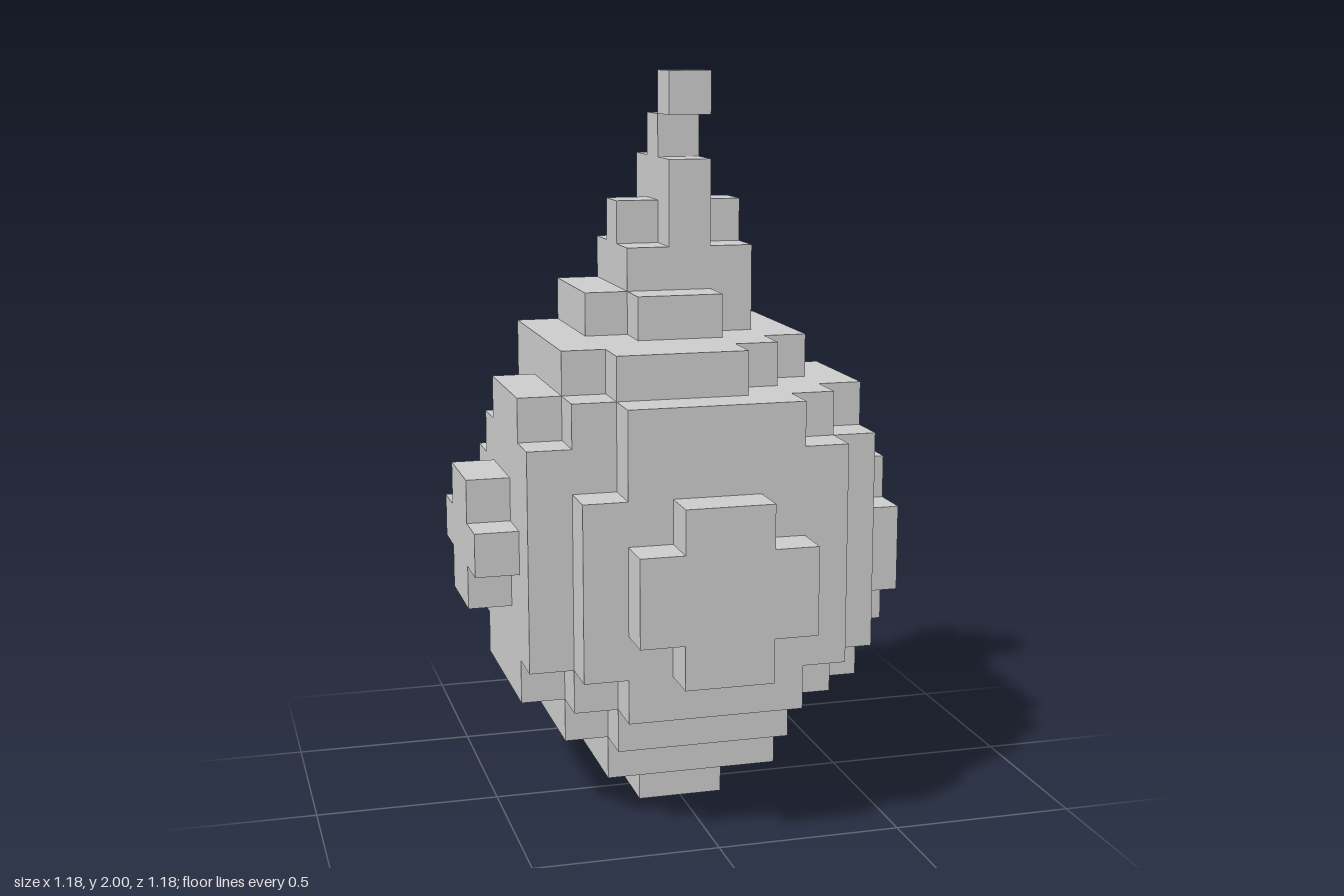
import * as THREE from 'three';

const U = 2 / 17; // size of one cube

// Every run is [y0, y1, z0, z1, x0, x1], counted in cubes
const parts = {
  base: [
    [0, 1, -1, 1, -1, 1],
    [1, 2, -2, 2, -2, 2], [1, 2, -3, -2, 1, 2],
    [2, 3, -3, 1, -3, 3], [2, 3, 1, 2, -3, 2], [2, 3, 2, 3, -2, 2],
    [3, 4, -4, -3, -2, 3], [3, 4, -3, -2, -3, 3], [3, 4, -2, 2, -4, 4],
    [3, 4, 2, 3, -3, 3], [3, 4, 3, 4, -2, 2],
  ],
  body: [
    [4, 8, -3, 3, -4, 4], [4, 8, 3, 4, -3, 3],
    [4, 8, -4, -3, -2, 3], [6, 8, -4, -3, -3, -2],
  ],
  shoulder: [
    [8, 9, -4, -3, -3, 2], [8, 9, -3, -2, -3, 3], [8, 9, -2, 3, -4, 4], [8, 9, 3, 4, -2, 3],
    [9, 10, -4, -3, -2, 2], [9, 10, -3, -1, -3, 3], [9, 10, -1, 2, -4, 4],
    [9, 10, 2, 3, -3, 3], [9, 10, 3, 4, -2, 2],
    [10, 11, -3, 1, -3, 3], [10, 11, 1, 2, -3, 2], [10, 11, 2, 3, -2, 1],
  ],
  frontBump: [[4, 8, 4, 5, -1, 1], [5, 7, 4, 5, -2, 2]],
  backBump: [[4, 8, -5, -4, 0, 1], [5, 6, -5, -4, -1, 0], [6, 7, -5, -4, 1, 2]],
  leftBump: [[4, 5, -1, 1, 4, 5], [5, 6, -2, 2, 4, 5], [6, 7, -1, 2, 4, 5], [7, 8, 0, 1, 4, 5]],
  rightBump: [[5, 8, -1, 1, -5, -4], [6, 7, -2, 2, -5, -4]],
  stem: [
    [11, 12, -3, 0, -2, 2], [11, 12, 0, 1, -1, 1],
    [12, 13, -3, -2, -1, 1], [12, 13, -2, 0, -1, 2],
    [13, 14, -2, -1, -1, 2], [13, 15, -3, 0, 0, 1],
    [15, 16, -2, -1, 0, 1],
  ],
  stemTip: [[16, 17, -1, 0, 0, 1]],
};

// Call fn for each cube in a list of runs
function eachCube(runs, fn) {
  for (const [y0, y1, z0, z1, x0, x1] of runs)
    for (let y = y0; y < y1; y++)
      for (let z = z0; z < z1; z++)
        for (let x = x0; x < x1; x++) fn(x, y, z);
}

const key = (x, y, z) => `${x},${y},${z}`;

// Geometry with only the exposed faces of the cubes
function cubesGeometry(runs, filled) {
  const pos = [], nor = [], idx = [], done = new Set();
  eachCube(runs, (x, y, z) => {
    if (done.has(key(x, y, z))) return;
    done.add(key(x, y, z));
    for (let axis = 0; axis < 3; axis++) for (const s of [-1, 1]) {
      const n = [0, 0, 0];
      n[axis] = s;
      if (filled.has(key(x + n[0], y + n[1], z + n[2]))) continue;
      const start = pos.length / 3;
      for (const [a, b] of [[-1, -1], [1, -1], [1, 1], [-1, 1]]) {
        const c = [0, 0, 0];
        c[axis] = s;
        c[(axis + 1) % 3] = a * s; // flipping one side keeps the winding outward
        c[(axis + 2) % 3] = b;
        pos.push((x + 0.5 + c[0] / 2) * U, (y + 0.5 + c[1] / 2) * U, (z + 0.5 + c[2] / 2) * U);
        nor.push(...n);
      }
      idx.push(start, start + 1, start + 2, start, start + 2, start + 3);
    }
  });
  const g = new THREE.BufferGeometry();
  g.setAttribute('position', new THREE.Float32BufferAttribute(pos, 3));
  g.setAttribute('normal', new THREE.Float32BufferAttribute(nor, 3));
  g.setIndex(idx);
  return g;
}

export function createModel() {
  const group = new THREE.Group();
  const material = new THREE.MeshStandardMaterial({ color: 0xcccccc, flatShading: true });
  const filled = new Set();
  for (const runs of Object.values(parts)) eachCube(runs, (x, y, z) => filled.add(key(x, y, z)));
  for (const [name, runs] of Object.entries(parts)) {
    const mesh = new THREE.Mesh(cubesGeometry(runs, filled), material);
    mesh.name = name;
    group.add(mesh);
  }
  return group;
}
